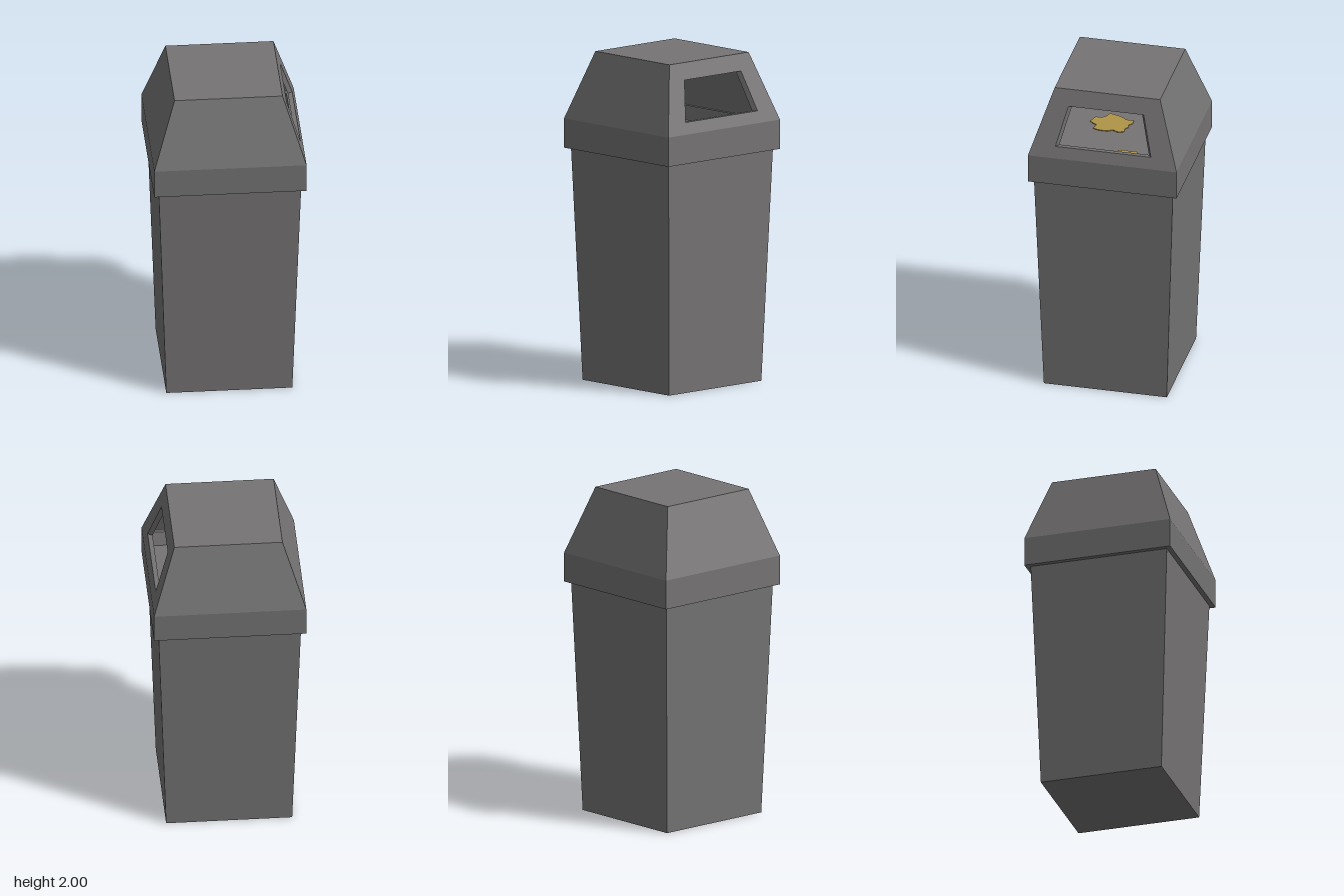
import * as THREE from 'three';

const grey = new THREE.MeshStandardMaterial({ color: 0x757373 });
grey.name = 'grey plastic';
const yellow = new THREE.MeshStandardMaterial({ color: 0xb09548 });
yellow.name = 'yellow litter';

const LID = { base: 1.59, top: 2, rBase: 0.458, rTop: 0.325, wall: 0.028 };

function part(name, geometry, material) {
  const g = geometry.index ? geometry.toNonIndexed() : geometry;
  g.computeVertexNormals(); // hard facets
  const mesh = new THREE.Mesh(g, material);
  mesh.name = name;
  return mesh;
}

// Square-section solid turned from a profile of [half width, height]
function squareLathe(profile) {
  const pts = profile.map(([r, y]) => new THREE.Vector2(r * Math.SQRT2, y));
  return new THREE.LatheGeometry(pts, 4, Math.PI / 4);
}

// Trapezoid outline from half widths and heights
function trapezoid(Type, w0, y0, w1, y1) {
  return new Type([[-w0, y0], [w0, y0], [w1, y1], [-w1, y1]].map(([x, y]) => new THREE.Vector2(x, y)));
}

// Sloping lid side: extruded inward, leaned back and mitred at the corners
function lidPanel(withOpening) {
  const shape = trapezoid(THREE.Shape, LID.rBase, LID.base, LID.rTop, LID.top);
  if (withOpening) shape.holes.push(trapezoid(THREE.Path, 0.295, 1.66, 0.232, 1.9));
  const g = new THREE.ExtrudeGeometry(shape, { depth: LID.wall, bevelEnabled: false });
  const p = g.attributes.position;
  for (let i = 0; i < p.count; i++) {
    const k = (p.getY(i) - LID.base) / (LID.top - LID.base);
    const r = THREE.MathUtils.lerp(LID.rBase, LID.rTop, k);
    const depth = LID.wall - p.getZ(i);
    p.setX(i, p.getX(i) * (r - depth) / r);
    p.setZ(i, r - depth);
  }
  return g;
}

// Thin ragged scrap lying flat
function scrap(x, z, rx, rz, phase) {
  const pts = [];
  for (let i = 0; i < 24; i++) {
    const a = (i / 24) * Math.PI * 2;
    const r = 0.85 + 0.12 * Math.sin(5 * a + phase) + 0.08 * Math.sin(9 * a + 2 * phase);
    pts.push(new THREE.Vector2(Math.cos(a) * rx * r, Math.sin(a) * rz * r));
  }
  const g = new THREE.ExtrudeGeometry(new THREE.Shape(pts), { depth: 0.006, bevelEnabled: false });
  return g.rotateX(-Math.PI / 2).translate(x, 1.499, z);
}

export function createModel() {
  const model = new THREE.Group();
  model.name = 'litterBin';

  // Tapered body, filled to just below its rim
  model.add(part('body', squareLathe([
    [0, 0], [0.379, 0], [0.434, 1.585], [0.41, 1.585], [0.39, 1.5], [0, 1.5],
  ]), grey));

  // Lid: skirt, four sloping sides with one opening, and flat top
  const lid = new THREE.Group();
  lid.name = 'lid';
  lid.add(part('lidSkirt', squareLathe([
    [0.428, 1.412], [0.458, 1.412], [0.458, 1.59], [0.43, 1.59], [0.428, 1.412],
  ]), grey));
  for (let i = 0; i < 4; i++) {
    const panel = part(i === 1 ? 'lidOpeningSide' : 'lidSide', lidPanel(i === 1), grey);
    panel.rotation.y = (i * Math.PI) / 2;
    lid.add(panel);
  }
  lid.add(part('lidTop', squareLathe([
    [0, 1.975], [0.325, 1.975], [0.325, 2], [0, 2],
  ]), grey));
  model.add(lid);

  // Scraps on top of the contents
  const litter = new THREE.Group();
  litter.name = 'litter';
  [
    [0.08, -0.31, 0.2, 0.08, 0.4],
    [0.19, -0.08, 0.1, 0.09, 1.7],
    [0.335, 0.01, 0.06, 0.08, 3.1],
    [-0.2, 0.1, 0.12, 0.14, 4.2],
  ].forEach((s) => litter.add(part('scrap', scrap(...s), yellow)));
  model.add(litter);

  return model;
}
